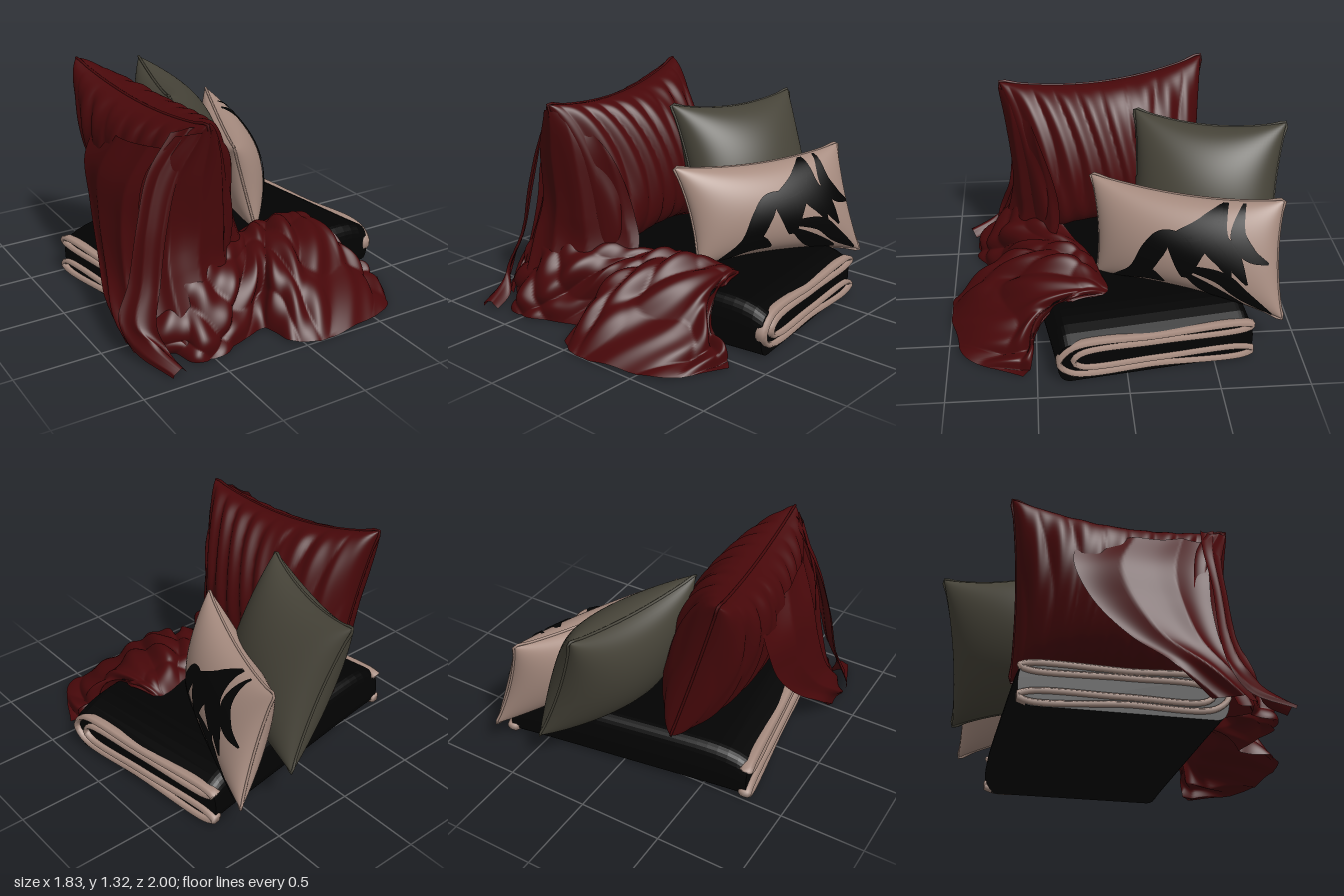
import * as THREE from 'three';

const V = (x, y, z) => new THREE.Vector3(x, y, z);
const cloth = (name, color) => {
  const m = new THREE.MeshStandardMaterial({ color, side: THREE.DoubleSide });
  m.name = name;
  return m;
};

// Grid surface from a point function; s and t run from 0 to 1
function grid(fn, nu, nv, flip = false) {
  const pos = [], idx = [];
  for (let j = 0; j <= nv; j++)
    for (let i = 0; i <= nu; i++) pos.push(...fn(i / nu, j / nv).toArray());
  for (let j = 0; j < nv; j++)
    for (let i = 0; i < nu; i++) {
      const a = j * (nu + 1) + i, b = a + 1, c = a + nu + 1, d = c + 1;
      if (flip) idx.push(a, c, b, b, c, d);
      else idx.push(a, b, c, b, d, c);
    }
  const g = new THREE.BufferGeometry();
  g.setAttribute('position', new THREE.Float32BufferAttribute(pos, 3));
  g.setIndex(idx);
  g.computeVertexNormals();
  return g;
}

function add(parent, name, geometry, material) {
  const mesh = new THREE.Mesh(geometry, material);
  mesh.name = name;
  parent.add(mesh);
  return mesh;
}

// Cushion surface between four corners, with pinched edges and a puffed middle
function cushionSurface({ tl, tr, br, bl, puff, full, pinchA, pinchB, ripple }) {
  const n = tr.clone().sub(tl).cross(tl.clone().sub(bl)).normalize();
  return (a, b, side, off = 0) => {
    const A = a * (1 - pinchA * (1 - b * b)), B = b * (1 - pinchB * (1 - a * a));
    const top = tl.clone().lerp(tr, (A + 1) / 2), low = bl.clone().lerp(br, (A + 1) / 2);
    const p = low.lerp(top, (B + 1) / 2);
    const soft = Math.pow(Math.max(0, (1 - a * a) * (1 - b * b)), full);
    const fold = ripple ? ripple(a, b) * Math.min(1, soft * 1.8) : 0;
    return p.addScaledVector(n, side * (puff * soft + fold + off));
  };
}

function cushion(name, spec, material, parent) {
  const g = new THREE.Group();
  g.name = name;
  parent.add(g);
  const surf = cushionSurface(spec), nu = spec.ripple ? 150 : 48;
  const ease = s => Math.sin((s - 0.5) * Math.PI);
  for (const side of [1, -1])
    add(g, side > 0 ? 'frontPanel' : 'backPanel',
      grid((s, t) => surf(ease(s), ease(t), side), nu, 44, side < 0), material);
  // Seam piping around the edge
  const pts = [];
  for (const [a0, b0, a1, b1] of [[-1, -1, 1, -1], [1, -1, 1, 1], [1, 1, -1, 1], [-1, 1, -1, -1]])
    for (let i = 0; i < 10; i++)
      pts.push(surf(a0 + (a1 - a0) * i / 10, b0 + (b1 - b0) * i / 10, 1));
  add(g, 'seam', new THREE.TubeGeometry(new THREE.CatmullRomCurve3(pts, true), 120, 0.008, 6, true), material);
  return { g, surf };
}

// Crisp cloth folds: narrow valleys between rounded ridges
const ridge = x => Math.abs(Math.sin(x)) - 0.6;

// Draped sheet lofted through rows of control points, pushed along its normals into folds
function sheet(name, rows, nu, nv, folds, material, parent) {
  const curves = rows.map(r => new THREE.CatmullRomCurve3(r.map(p => V(...p)), false, 'centripetal'));
  const columns = [];
  for (let i = 0; i <= nu; i++)
    columns.push(new THREE.CatmullRomCurve3(curves.map(c => c.getPoint(i / nu)), false, 'centripetal'));
  const g = grid((s, t) => columns[Math.round(s * nu)].getPoint(t), nu, nv);
  const p = g.attributes.position, n = g.attributes.normal;
  for (let k = 0; k < p.count; k++) {
    const f = folds((k % (nu + 1)) / nu, Math.floor(k / (nu + 1)) / nv);
    p.setXYZ(k, p.getX(k) + n.getX(k) * f, Math.max(0.004, p.getY(k) + n.getY(k) * f), p.getZ(k) + n.getZ(k) * f);
  }
  g.computeVertexNormals();
  add(parent, name, g, material);
}

export function createModel() {
  const red = cloth('deep red', 0x48080a), olive = cloth('olive grey', 0x464338);
  const beige = cloth('dusty beige', 0xa68b7f), black = cloth('soft black', 0x020202);
  const model = new THREE.Group();
  model.name = 'cushionsAndThrow';

  // Folded blanket
  const blanket = new THREE.Group();
  blanket.name = 'foldedBlanket';
  blanket.position.set(0.055, 0, -0.055);
  blanket.rotation.y = 0.15;
  model.add(blanket);
  const L = 1.5, D = 0.56, H = 0.315, r = 0.08;
  const s = new THREE.Shape();
  s.moveTo(-D + r, 0.004);
  s.lineTo(D - r, 0.004);
  s.quadraticCurveTo(D, 0.004, D, H / 2);
  s.quadraticCurveTo(D, H, D - r, H);
  s.lineTo(-D + r, H);
  s.quadraticCurveTo(-D, H, -D, H / 2);
  s.quadraticCurveTo(-D, 0.004, -D + r, 0.004);
  const body = new THREE.ExtrudeGeometry(s, { depth: L, steps: 24, bevelEnabled: false, curveSegments: 8 });
  body.translate(0, 0, -L / 2).rotateY(Math.PI / 2);
  const bp = body.attributes.position;
  for (let k = 0; k < bp.count; k++)
    bp.setY(k, bp.getY(k) * (1 - 0.22 * Math.pow(Math.abs(bp.getX(k)) / (L / 2), 7)));
  body.computeVertexNormals();
  add(blanket, 'blanketBody', body, black);
  // Bound edge winding through the folds at both ends
  const edge = [[-0.5, 0.236], [0, 0.234], [0.48, 0.228], [0.555, 0.14], [0.48, 0.062], [0, 0.048], [-0.5, 0.024],
    [-0.565, 0.052], [-0.5, 0.08], [0, 0.088], [0.43, 0.098], [0.475, 0.14], [0.43, 0.185], [0, 0.196], [-0.5, 0.195], [-0.555, 0.217]];
  for (const side of [-1, 1]) {
    const path = new THREE.CatmullRomCurve3(edge.map(([z, y]) => V(0, y, z)), true, 'centripetal');
    const trim = add(blanket, 'blanketTrim', new THREE.TubeGeometry(path, 160, 0.018, 6, true), beige);
    trim.scale.x = 2.2;
    trim.position.x = side * 0.745;
  }

  // Square cushion in the middle
  cushion('squareCushion', {
    tl: V(-0.22, 1.14, -0.13), tr: V(0.02, 1.13, -0.99), br: V(0.34, 0.3, -0.91), bl: V(0.09, 0.29, -0.05),
    puff: 0.235, full: 0.46, pinchA: 0.09, pinchB: 0.13,
  }, olive, model);

  // Oblong cushion with a dark brushed pattern
  const oblong = cushion('oblongCushion', {
    tl: V(0.05, 0.86, 0.15), tr: V(0.47, 0.87, -0.9), br: V(0.68, 0.22, -0.89), bl: V(0.22, 0.29, 0.13),
    puff: 0.175, full: 0.46, pinchA: 0.06, pinchB: 0.16,
  }, beige, model);
  const strokes = [
    [0.12, [-0.78, -0.98], [-0.5, -0.72], [-0.3, -0.15], [-0.14, 0.22], [0.14, 0.3]],
    [0.1, [-0.62, -0.9], [-0.4, -0.72], [-0.2, -0.85]],
    [0.14, [-0.1, 0.35], [0.02, 0], [0.02, -0.62]],
    [0.11, [-0.12, 0.2], [0.24, 0.5], [0.42, 0.97]],
    [0.14, [0.06, -0.62], [0.16, 0.1], [0.34, 0.65], [0.4, 0.95]],
    [0.09, [0.3, 0.6], [0.32, 0.2], [0.46, -0.1], [0.54, -0.42]],
    [0.12, [0.44, 0.98], [0.42, 0.32], [0.56, -0.02], [0.7, -0.48]],
    [0.09, [0.62, 0.98], [0.62, 0.4], [0.74, 0.1], [0.93, -0.05]],
    [0.1, [0, -0.36], [0.44, -0.46], [0.64, -0.72], [0.9, -0.96]],
    [0.09, [0.04, -0.5], [0.3, -0.8], [0.62, -0.94]],
  ];
  const ratio = 1.7; // cushion width over height keeps stroke widths even
  for (const [w, ...pts] of strokes) {
    const c = new THREE.CatmullRomCurve3(pts.map(([a, b]) => V(a * ratio, b, 0)));
    const clamp = x => Math.max(-0.985, Math.min(0.985, x));
    add(oblong.g, 'patternStroke', grid((u, v) => {
      const p = c.getPoint(v), d = c.getTangent(v);
      const k = (u - 0.5) * 2 * w * ratio * Math.sin(Math.PI * (0.06 + 0.9 * v));
      return oblong.surf(clamp((p.x + d.y * k) / ratio), clamp(p.y - d.x * k), 1, 0.008);
    }, 6, 28), black);
  }

  // Large cushion wrapped in the throw
  cushion('wrappedCushion', {
    tl: V(-0.43, 1.25, 0.67), tr: V(-0.6, 1.32, -0.57), br: V(-0.31, 0.32, -0.55), bl: V(-0.22, 0.32, 0.48),
    puff: 0.275, full: 0.36, pinchA: 0.05, pinchB: 0.17,
    ripple: (a, b) => 0.022 * ridge(a * 13 + 0.9 * Math.sin(b * 2.2 + a * 3)) + 0.006 * Math.sin(a * 31 + b * 3),
  }, red, model);

  const drape = new THREE.Group();
  drape.name = 'throw';
  model.add(drape);
  // Front fall of the throw
  sheet('frontFall', [
    [[-0.55, 1.17, 0.54], [-0.48, 1.21, 0.65], [-0.41, 1.22, 0.67], [-0.32, 1.16, 0.54]],
    [[-0.69, 0.95, 0.45], [-0.58, 0.98, 0.6], [-0.38, 0.98, 0.63], [-0.16, 0.95, 0.44]],
    [[-0.74, 0.6, 0.44], [-0.6, 0.62, 0.57], [-0.34, 0.6, 0.59], [-0.08, 0.58, 0.34]],
    [[-0.79, 0.3, 0.5], [-0.64, 0.4, 0.62], [-0.36, 0.42, 0.6], [-0.04, 0.4, 0.36]],
    [[-0.82, 0.02, 0.6], [-0.66, 0.05, 0.75], [-0.42, 0.12, 0.74], [-0.1, 0.2, 0.55]],
  ], 80, 60, (u, v) => 0.022 * ridge(u * 15 + 1.5 * Math.sin(v * 3)) * Math.min(1, 0.4 + v), red, drape);

  // Side fall hugging the cushion and sagging to the floor
  sheet('sideFall', [
    [[-0.64, 1.04, -0.2], [-0.66, 1.06, 0.2], [-0.58, 1.1, 0.52]],
    [[-0.73, 0.85, -0.22], [-0.75, 0.85, 0.2], [-0.68, 0.85, 0.52]],
    [[-0.76, 0.62, -0.12], [-0.79, 0.62, 0.26], [-0.72, 0.6, 0.52]],
    [[-0.81, 0.38, 0.08], [-0.83, 0.36, 0.36], [-0.76, 0.36, 0.56]],
    [[-0.86, 0.2, 0.3], [-0.89, 0.18, 0.5], [-0.78, 0.18, 0.64]],
    [[-0.84, 0.03, 0.48], [-0.86, 0.04, 0.64], [-0.73, 0.05, 0.74]],
  ], 50, 60, (u, v) => 0.02 * ridge(u * 8 + Math.sin(v * 4)), red, drape);

  // Loose band hanging free from the top corner, ending in a tail on the floor
  sheet('looseBand', [
    [[-0.55, 1.18, 0.5], [-0.49, 1.22, 0.58], [-0.44, 1.23, 0.64]],
    [[-0.69, 0.98, 0.49], [-0.64, 0.98, 0.56], [-0.57, 0.98, 0.61]],
    [[-0.78, 0.7, 0.52], [-0.72, 0.7, 0.58], [-0.65, 0.7, 0.62]],
    [[-0.84, 0.4, 0.53], [-0.78, 0.4, 0.6], [-0.71, 0.4, 0.65]],
    [[-0.91, 0.2, 0.55], [-0.86, 0.2, 0.64], [-0.77, 0.2, 0.72]],
    [[-0.88, 0.06, 0.66], [-0.82, 0.12, 0.74], [-0.72, 0.06, 0.77]],
    [[-0.79, 0.01, 0.92], [-0.75, 0.05, 0.92], [-0.69, 0.01, 0.89]],
  ], 24, 70, (u, v) => 0.014 * ridge(u * 6 + Math.sin(v * 5)), red, drape);

  // Crumpled pool spreading over the blanket and down to the floor
  sheet('pooledCloth', [
    [[-0.72, 0.42, 0.45], [-0.76, 0.28, 0.58], [-0.78, 0.18, 0.66], [-0.75, 0.09, 0.7], [-0.69, 0.01, 0.7]],
    [[-0.5, 0.48, 0.5], [-0.53, 0.4, 0.61], [-0.56, 0.28, 0.71], [-0.57, 0.12, 0.82], [-0.56, 0.01, 0.87]],
    [[-0.25, 0.46, 0.38], [-0.28, 0.41, 0.52], [-0.3, 0.3, 0.66], [-0.32, 0.14, 0.76], [-0.33, 0.01, 0.81]],
    [[-0.08, 0.36, 0.26], [-0.07, 0.4, 0.4], [-0.08, 0.32, 0.56], [-0.09, 0.17, 0.66], [-0.1, 0.01, 0.74]],
    [[0.1, 0.34, 0.16], [0.1, 0.4, 0.28], [0.07, 0.36, 0.53], [0.01, 0.22, 0.77], [-0.05, 0.01, 0.93]],
    [[0.27, 0.33, 0.12], [0.3, 0.41, 0.25], [0.27, 0.36, 0.53], [0.18, 0.23, 0.79], [0.1, 0.01, 1.01]],
    [[0.44, 0.32, 0.08], [0.48, 0.37, 0.2], [0.5, 0.32, 0.45], [0.48, 0.17, 0.7], [0.37, 0.01, 0.97]],
    [[0.5, 0.32, 0.1], [0.53, 0.34, 0.25], [0.57, 0.25, 0.48], [0.67, 0.1, 0.62], [0.63, 0.01, 0.9]],
    [[0.52, 0.31, 0.18], [0.56, 0.3, 0.38], [0.64, 0.16, 0.5], [0.77, 0.05, 0.53], [0.82, 0.01, 0.58]],
  ], 90, 180, (u, v) => Math.sin(Math.PI * (0.04 + 0.8 * u)) *
    (0.045 * ridge(v * 15 + u * 4 + 1.2 * Math.sin(u * 5 + v * 9)) + 0.032 * ridge(u * 8 - v * 16 + 1.3 * Math.sin(v * 17))
      + 0.012 * Math.sin(v * 60 + u * 9)), red, drape);

  return model;
}
